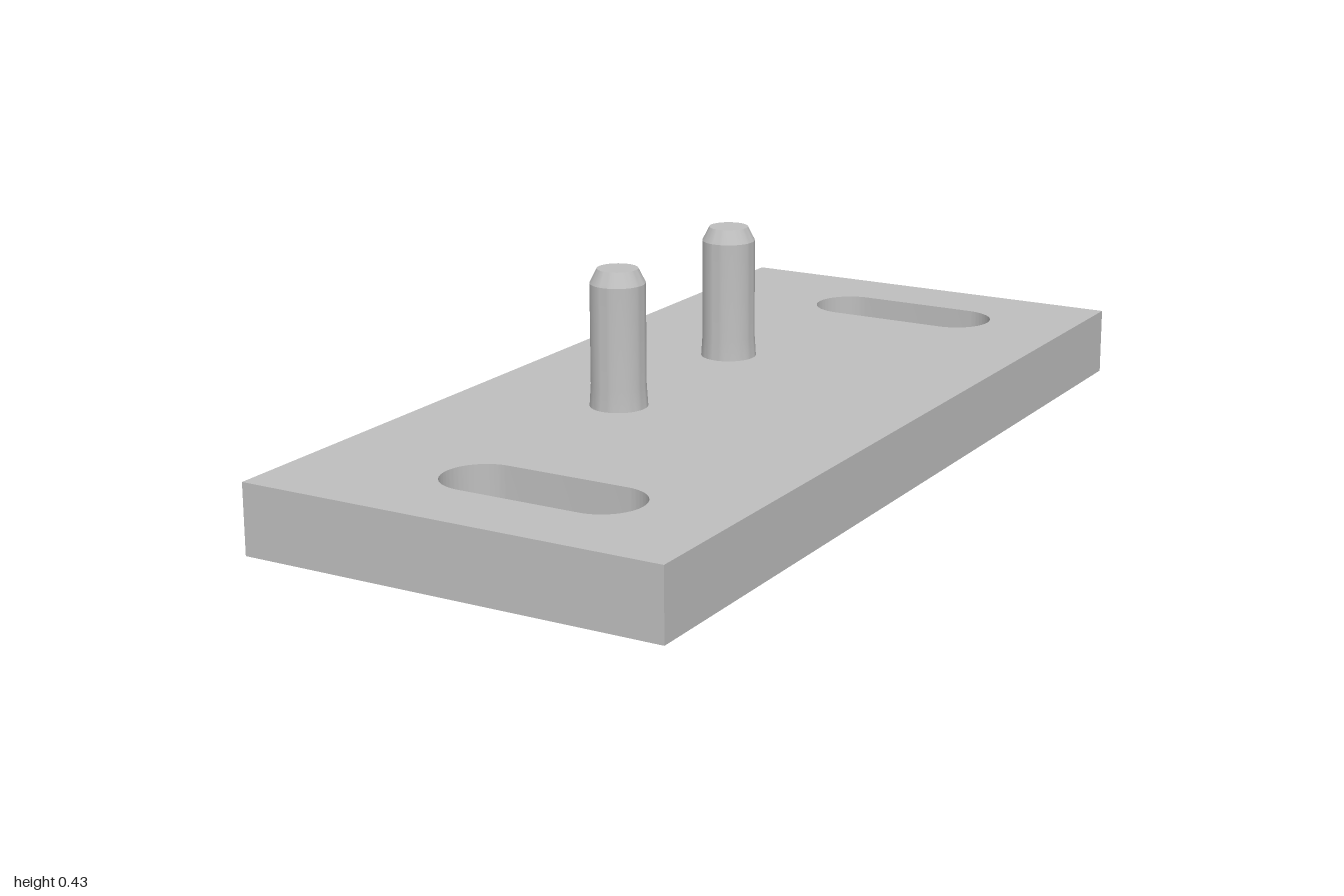
import * as THREE from 'three';
import { toCreasedNormals } from 'three/addons/utils/BufferGeometryUtils.js';

const THICKNESS = 0.145;

// Rounded slot lying along x; the shape's y axis is -z
function slotPath(cx, cz, halfLength, r) {
  const path = new THREE.Path();
  const d = halfLength - r;
  path.moveTo(cx - d, -cz - r);
  path.lineTo(cx + d, -cz - r);
  path.absarc(cx + d, -cz, r, -Math.PI / 2, Math.PI / 2, false);
  path.lineTo(cx - d, -cz + r);
  path.absarc(cx - d, -cz, r, Math.PI / 2, Math.PI * 1.5, false);
  return path;
}

export function createModel() {
  const group = new THREE.Group();
  group.name = 'pinPlate';
  const steel = new THREE.MeshStandardMaterial({ color: 0xbfbfbf });
  steel.name = 'steel grey';

  // Base plate with two slots
  const outline = new THREE.Shape();
  outline.moveTo(-0.454, -1);
  outline.lineTo(0.454, -1);
  outline.lineTo(0.454, 1);
  outline.lineTo(-0.454, 1);
  outline.closePath();
  for (const z of [-0.763, 0.758]) outline.holes.push(slotPath(0.05, z, 0.215, 0.083));
  const plateGeometry = new THREE.ExtrudeGeometry(outline, {
    depth: THICKNESS, bevelEnabled: false, curveSegments: 24,
  });
  plateGeometry.rotateX(-Math.PI / 2);
  const plate = new THREE.Mesh(toCreasedNormals(plateGeometry, 0.4), steel);
  plate.name = 'basePlate';
  group.add(plate);

  // Dowel pins: slightly flared foot, straight shank, chamfered tip
  const profile = [
    [0.06, THICKNESS], [0.057, 0.19], [0.057, 0.402], [0.042, 0.432], [0, 0.432],
  ].map(([r, y]) => new THREE.Vector2(r, y));
  const pinGeometry = toCreasedNormals(new THREE.LatheGeometry(profile, 48), 0.4);
  [['backPin', -0.23], ['frontPin', 0.225]].forEach(([name, z]) => {
    const pin = new THREE.Mesh(pinGeometry, steel);
    pin.name = name;
    pin.position.set(-0.116, 0, z);
    group.add(pin);
  });

  return group;
}
